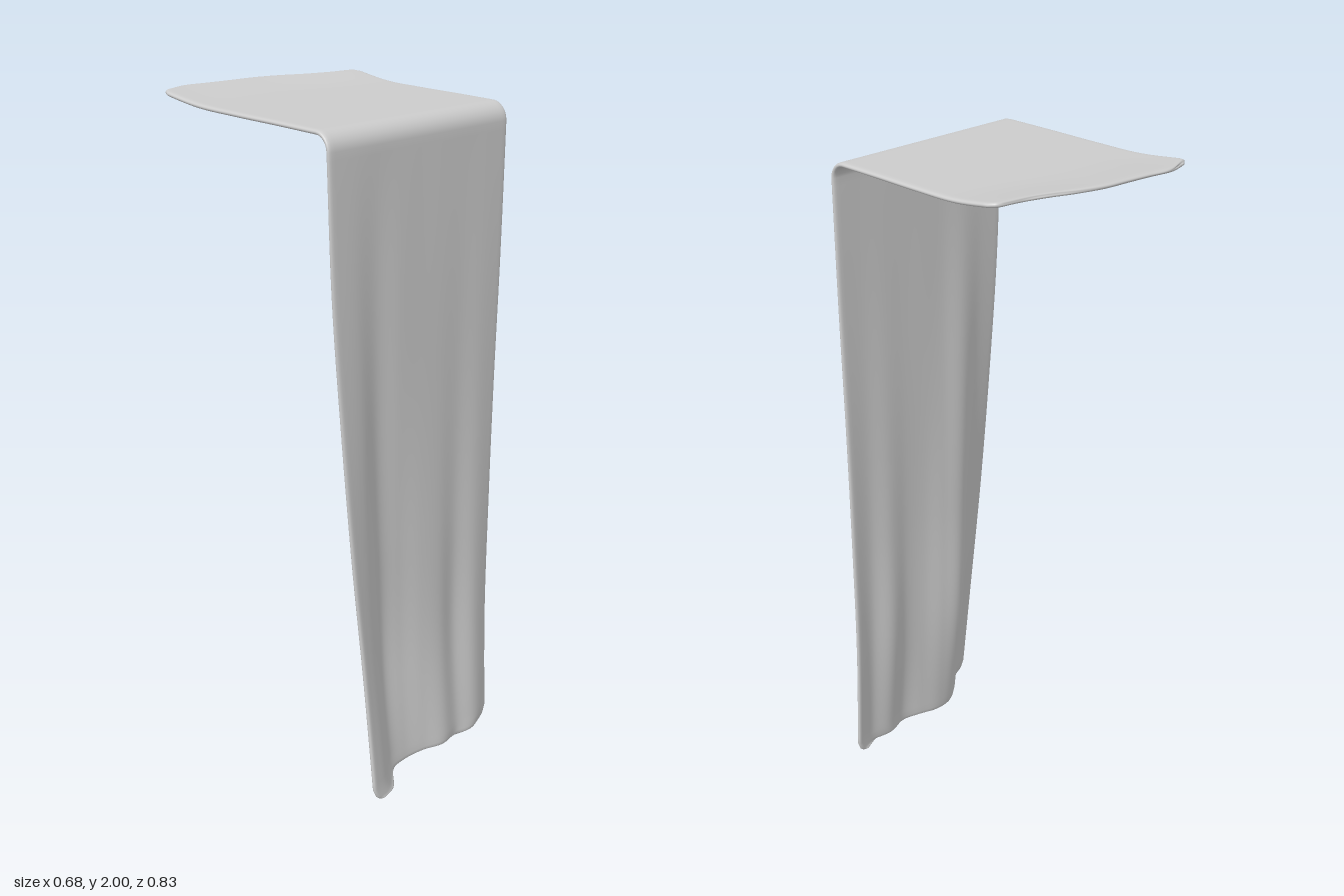
import * as THREE from 'three';

const NU = 64, NV = 130, HALF = 0.007, BEND = 0.045;

// Smooth interpolation through evenly spaced values, t in 0..1
function curve(a, t) {
  const n = a.length - 1, f = Math.min(Math.max(t, 0), 1) * n;
  const i = Math.min(Math.floor(f), n - 1), k = f - i;
  const p1 = a[i], p2 = a[i + 1];
  const p0 = i > 0 ? a[i - 1] : 2 * p1 - p2, p3 = i + 2 <= n ? a[i + 2] : 2 * p2 - p1;
  return p1 + 0.5 * k * (p2 - p0 + k * (2 * p0 - 5 * p1 + 4 * p2 - p3 + k * (3 * (p1 - p2) + p3 - p0)));
}

// Outline: back edge of the flat part, bottom hem, and side edges down the drop
const backZ = [-0.40, -0.42, -0.41, -0.402, -0.395, -0.375, -0.345, -0.322, -0.31];
const hemY = [0.012, 0.004, 0.004, 0.008, 0.016, 0.016, 0.012, 0.012, 0.018];
const topY = [1.997, 1.98, 1.979, 1.981, 1.982];
const leftX = [-0.245, -0.25, -0.275, -0.298, -0.32, -0.331];
const rightX = [0.336, 0.327, 0.322, 0.319, 0.317, 0.314];

// Fold depth across the width at six heights, from hem to bend
const folds = [
  [0.41, 0.38, 0.312, 0.298, 0.308, 0.324, 0.308, 0.315, 0.287],
  [0.367, 0.335, 0.272, 0.275, 0.292, 0.298, 0.282, 0.298, 0.28],
  [0.342, 0.318, 0.279, 0.283, 0.294, 0.296, 0.286, 0.296, 0.284],
  [0.323, 0.311, 0.286, 0.293, 0.297, 0.297, 0.292, 0.297, 0.29],
  [0.311, 0.307, 0.296, 0.302, 0.302, 0.302, 0.3, 0.302, 0.299],
  [0.305, 0.305, 0.305, 0.305, 0.305, 0.305, 0.305, 0.305, 0.305],
];

// Rounds a corner: how far the side moves in at distance d from the end
const inset = (d, r) => (d >= r ? 0 : r - Math.sqrt(r * r - (r - d) ** 2));

// Middle surface of the cloth: u across, v from back edge over the bend to the hem
function cloth(u, v) {
  const A = 0.28, B = 0.33;
  let x0, x1, y, z, cut;
  if (v < A) {
    const t = v / A;
    z = THREE.MathUtils.lerp(curve(backZ, u), 0.26, t);
    y = curve(topY, t);
    x0 = -0.341 + 0.01 * t;
    x1 = 0.302 + 0.012 * Math.sqrt(t);
    cut = inset(t * 0.65, 0.035);
  } else if (v < B) {
    const a = ((v - A) / (B - A)) * Math.PI / 2;
    z = 0.26 + BEND * Math.sin(a);
    y = 1.937 + BEND * Math.cos(a);
    x0 = -0.331;
    x1 = 0.314;
    cut = 0;
  } else {
    const t = (v - B) / (1 - B), h = 1 - t;
    y = THREE.MathUtils.lerp(1.937, curve(hemY, u), t);
    z = curve(folds.map((row) => curve(row, u)), h);
    x0 = curve(leftX, h);
    x1 = curve(rightX, h);
    cut = inset(h * 1.93, 0.04);
  }
  return new THREE.Vector3(THREE.MathUtils.lerp(x0 + cut, x1 - cut, u), y, z);
}

// Sample positions crowd toward the borders so the rim is rounded
function samples(n, edge) {
  const rim = [0, 0.04, 0.15, 0.4, 1].map((k) => k * edge), list = [...rim];
  for (let i = 1; i < n - 8; i++) list.push(edge + (1 - 2 * edge) * i / (n - 8));
  return list.concat(rim.reverse().map((k) => 1 - k));
}

function buildCloth() {
  const us = samples(NU, 0.016), vs = samples(NV, 0.005);
  const cols = us.length, rows = vs.length, pos = [], index = [];
  const round = (t, edge) => {
    const k = Math.min(t, 1 - t, edge) / edge;
    return Math.sqrt(Math.max(0, 1 - (1 - k) ** 2));
  };
  const mid = vs.map((v) => us.map((u) => cloth(u, v)));
  // Two faces, offset to either side of the middle surface and meeting at the rim
  for (const side of [1, -1]) {
    vs.forEach((v, j) => us.forEach((u, i) => {
      const e = 0.002;
      const du = cloth(Math.min(u + e, 1), v).sub(cloth(Math.max(u - e, 0), v));
      const dv = cloth(u, Math.min(v + e, 1)).sub(cloth(u, Math.max(v - e, 0)));
      const n = dv.cross(du).normalize();
      const h = side * HALF * round(u, 0.016) * round(v, 0.005);
      const p = mid[j][i].clone().addScaledVector(n, h);
      pos.push(p.x, p.y, p.z);
    }));
  }
  // The border vertices of the first face are shared by the second
  const id = (s, j, i) => {
    const border = i === 0 || j === 0 || i === cols - 1 || j === rows - 1;
    return (border ? 0 : s * rows * cols) + j * cols + i;
  };
  for (let s = 0; s < 2; s++) {
    for (let j = 0; j < rows - 1; j++) {
      for (let i = 0; i < cols - 1; i++) {
        const a = id(s, j, i), b = id(s, j, i + 1), c = id(s, j + 1, i), d = id(s, j + 1, i + 1);
        if (s === 0) index.push(a, c, b, b, c, d);
        else index.push(a, b, c, b, d, c);
      }
    }
  }
  const geo = new THREE.BufferGeometry();
  geo.setAttribute('position', new THREE.Float32BufferAttribute(pos, 3));
  geo.setIndex(index);
  geo.computeVertexNormals();
  return geo;
}

export function createModel() {
  const group = new THREE.Group();
  group.name = 'drapedCloth';
  const mesh = new THREE.Mesh(
    buildCloth(),
    new THREE.MeshStandardMaterial({ color: 0xcccccc, side: THREE.DoubleSide }),
  );
  mesh.name = 'clothSheet';
  group.add(mesh);
  return group;
}
